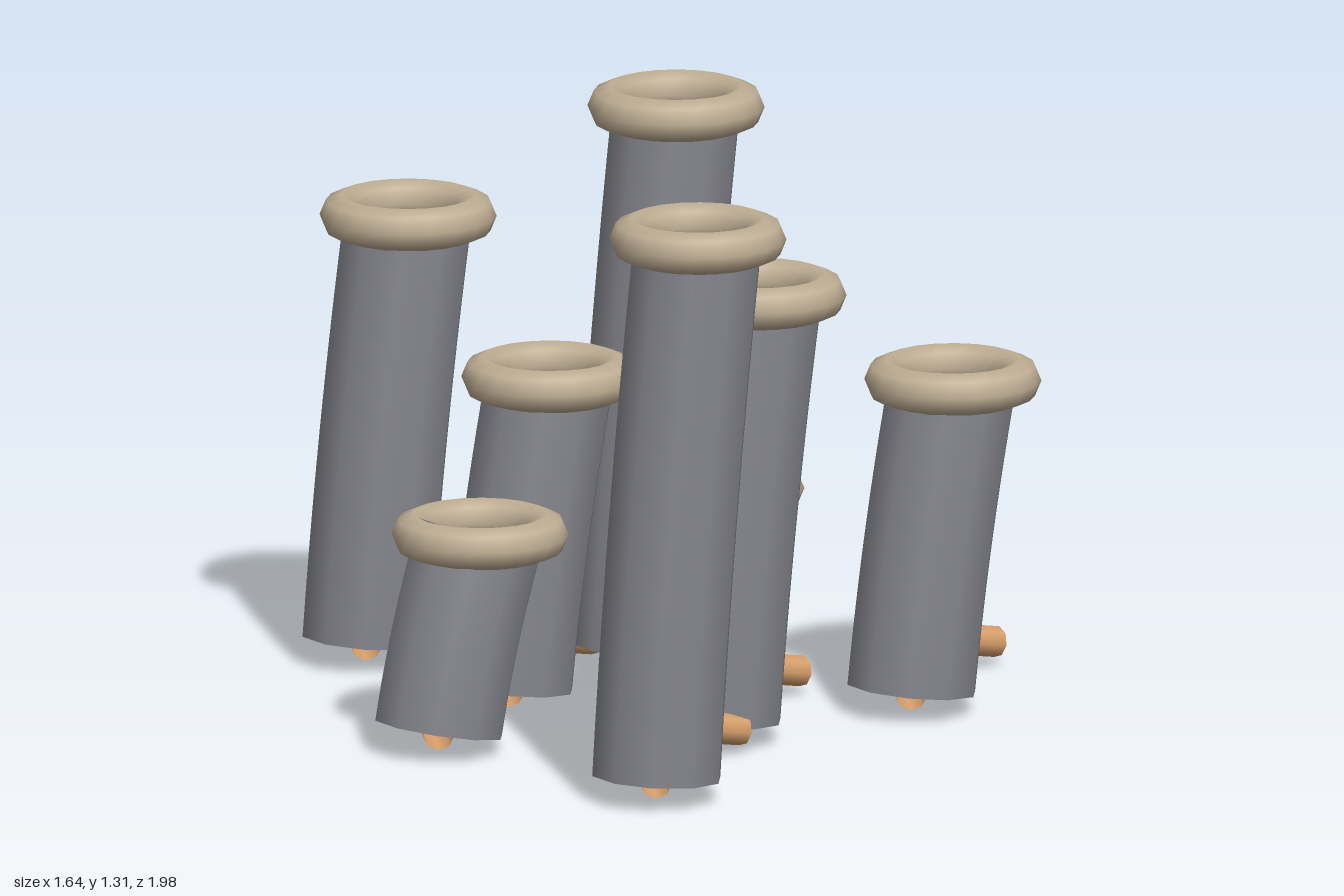
import * as THREE from 'three';

// [x of rim, z, height of rim]
const TUBES = [
  [-0.43, 0.79, 1.26], [0.235, -0.31, 1.26],
  [-0.005, 0.385, 1.0], [-0.23, -0.68, 1.0],
  [0.51, 0.385, 0.74], [-0.22, -0.125, 0.74],
  [-0.575, 0.135, 0.48], [0.11, 0.04, 0.48],
];
const LEAN = 0.11;
const BASE = 0.055;

const V = (x, y, z) => new THREE.Vector3(x, y, z);

export function createModel() {
  const model = new THREE.Group();
  model.name = 'tubeCluster';

  const mat = (name, color, side = THREE.FrontSide) => {
    const m = new THREE.MeshStandardMaterial({ color, side });
    m.name = name;
    return m;
  };
  const grey = mat('tubeGrey', 0x84858c, THREE.DoubleSide);
  const sand = mat('rimSand', 0xbfae94);
  const teal = mat('coreTeal', 0x4c656b);
  const orange = mat('rootOrange', 0xd8a06c, THREE.DoubleSide);

  // Shared shapes: rim ring, domed core and curling root
  const rimGeo = new THREE.TorusGeometry(0.148, 0.048, 8, 20).rotateX(Math.PI / 2);
  const coreGeo = new THREE.SphereGeometry(0.125, 14, 8).scale(1, 0.4, 1);
  const rootPath = new THREE.CatmullRomCurve3([
    V(0, 0.037, 0), V(0.105, 0.072, -0.19), V(0.23, 0.083, -0.263), V(0.41, 0.052, -0.28),
  ]);
  const rootGeo = new THREE.TubeGeometry(rootPath, 14, 0.035, 8, false);

  TUBES.forEach(([x, z, h], i) => {
    const stalk = new THREE.Group();
    stalk.name = `stalk${i + 1}`;
    stalk.position.set(x - LEAN, 0, z);

    const add = (name, geo, material, px = 0, py = 0) => {
      const mesh = new THREE.Mesh(geo, material);
      mesh.name = name;
      mesh.position.set(px, py, 0);
      stalk.add(mesh);
    };

    // Leaning, slightly bowed open tube
    const path = new THREE.QuadraticBezierCurve3(
      V(0, BASE, 0), V(0.038, (BASE + h) / 2, 0), V(LEAN, h, 0));
    add('tube', new THREE.TubeGeometry(path, 10, 0.147, 10, false), grey);
    add('rim', rimGeo, sand, LEAN, h);
    add('core', coreGeo, teal, LEAN, h - 0.05);
    add('root', rootGeo, orange);
    model.add(stalk);
  });

  return model;
}
